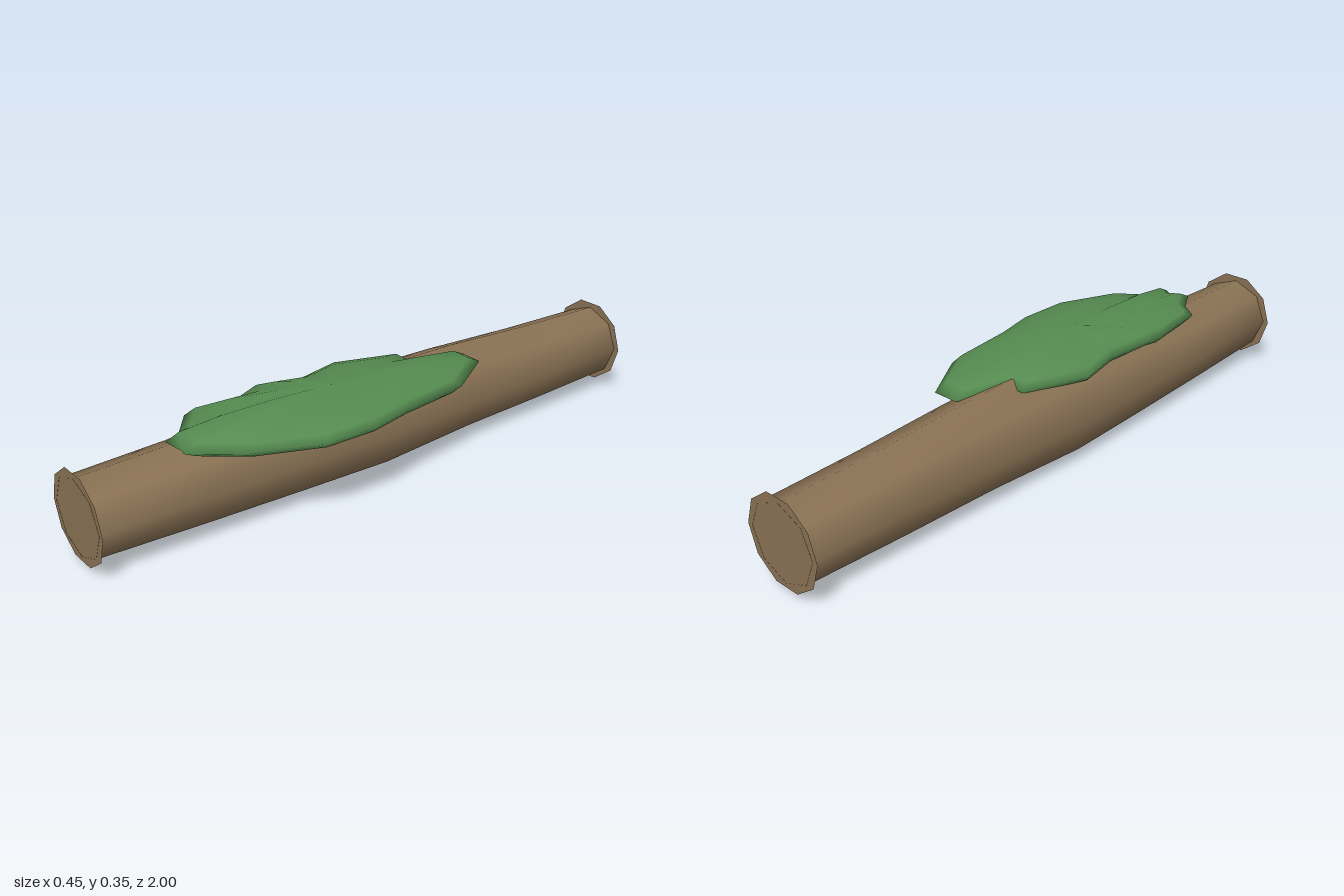
import * as THREE from 'three';

// Joins equal-length rings of [x, y, z] points into a smooth skin.
function skin(rings) {
  const n = rings[0].length;
  const index = [];
  for (let i = 0; i < rings.length - 1; i++) {
    for (let j = 0; j < n; j++) {
      const a = i * n + j, b = i * n + (j + 1) % n;
      index.push(a, b, a + n, b, b + n, a + n);
    }
  }
  const g = new THREE.BufferGeometry();
  g.setAttribute('position', new THREE.Float32BufferAttribute(rings.flat(2), 3));
  g.setIndex(index);
  g.computeVertexNormals();
  return g;
}

export function createModel() {
  const group = new THREE.Group();
  const bark = new THREE.MeshStandardMaterial({ color: 0x8b7355, side: THREE.DoubleSide });
  bark.name = 'bark brown';
  const green = new THREE.MeshStandardMaterial({ color: 0x558b50 });
  green.name = 'moss green';

  const add = (name, geometry, material) => {
    const mesh = new THREE.Mesh(geometry, material);
    mesh.name = name;
    group.add(mesh);
    return mesh;
  };

  // Log: eight-sided trunk, swelling in the middle. [z, half width, top, bottom]
  const cx = -0.07, cy = 0.16;
  const stations = [
    [-1, 0.125, 0.281, 0.037], [-0.67, 0.133, 0.291, 0.026], [-0.33, 0.142, 0.311, 0.021],
    [0.02, 0.157, 0.315, 0.003], [0.33, 0.149, 0.305, 0.012], [0.67, 0.136, 0.287, 0.022],
    [1, 0.125, 0.281, 0.037],
  ];
  add('log', skin(stations.map(([z, w, top, bottom]) =>
    Array.from({ length: 8 }, (_, j) => {
      const a = j * Math.PI / 4, s = Math.sin(a);
      return [cx + Math.cos(a) * w, cy + s * (s > 0 ? top - cy : cy - bottom), z];
    }))), bark);

  // Cut ends: flat ten-sided discs, a little wider than the trunk
  for (const side of [1, -1]) {
    const cap = add(side > 0 ? 'frontCutEnd' : 'backCutEnd',
      new THREE.CircleGeometry(0.144, 10, Math.PI / 2 + Math.PI / 10), bark);
    cap.position.set(cx, cy, side * 0.9995);
    if (side < 0) cap.rotation.y = Math.PI;
  }

  // Moss: flattened cushion with a ragged rim. [x, z, rim lift]
  const rim = [
    [-0.02, -0.34, 0], [0.06, -0.34, 0], [0.165, -0.17, 0], [0.19, 0.05, 0],
    [0.222, 0.2, 0], [0.217, 0.38, 0], [0.13, 0.58, 0], [0.06, 0.65, -0.006],
    [0.03, 0.72, 0.006], [0, 0.71, 0], [-0.06, 0.725, 0.008], [-0.09, 0.67, -0.004],
    [-0.17, 0.6, 0.01], [-0.18, 0.43, -0.004], [-0.19, 0.36, 0.012], [-0.165, 0.2, 0],
    [-0.2, 0.04, 0], [-0.125, -0.17, 0], [-0.065, -0.17, 0],
  ];
  const mossRings = [];
  const steps = 8;
  for (let i = 0; i <= steps; i++) {
    const a = -Math.PI / 2 + i * Math.PI / steps;
    const s = Math.max(Math.cos(a), 0.001);
    mossRings.push(rim.map(([x, z, lift]) =>
      [x * s, 0.296 + 0.053 * Math.sin(a) + lift * s, 0.2 + (z - 0.2) * s]));
  }
  // The rim runs clockwise seen from above, so the rings go from top to bottom
  add('mossPatch', skin(mossRings.reverse()), green);

  return group;
}
